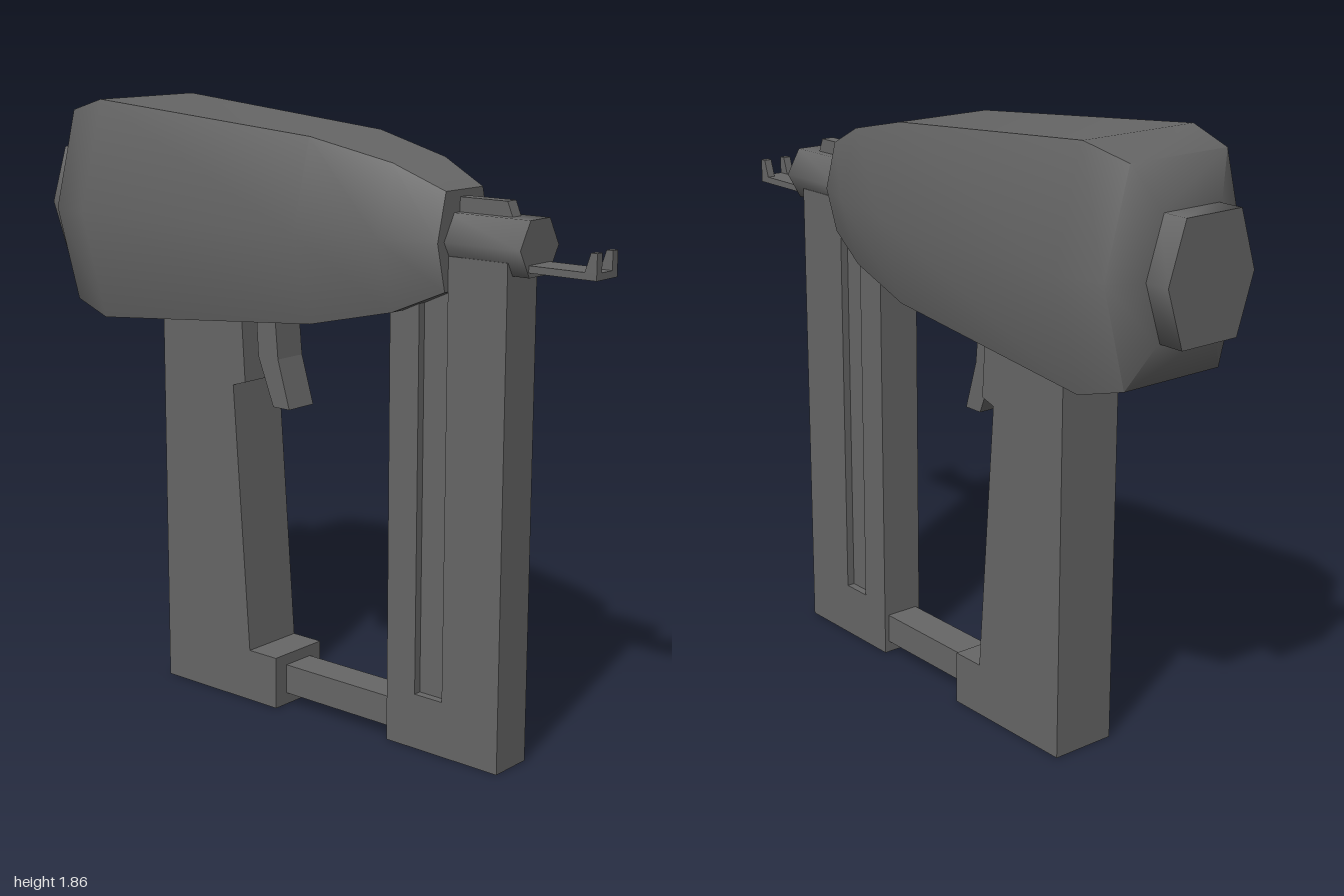
import * as THREE from 'three';
import { toCreasedNormals } from 'three/addons/utils/BufferGeometryUtils.js';

const AXIS_Y = 1.52;
const material = new THREE.MeshStandardMaterial({ color: 0x666666 });

function addPart(group, name, geometry) {
  const mesh = new THREE.Mesh(geometry, material);
  mesh.name = name;
  group.add(mesh);
}

// Box given by its minimum and maximum corners
function box([x0, y0, z0], [x1, y1, z1]) {
  return new THREE.BoxGeometry(x1 - x0, y1 - y0, z1 - z0)
    .translate((x0 + x1) / 2, (y0 + y1) / 2, (z0 + z1) / 2);
}

// Side profile of [z, y] points, extruded across x from x0 to x1
function profile(points, x0, x1, hole) {
  const toVectors = (list) => list.map(([z, y]) => new THREE.Vector2(z, y));
  const shape = new THREE.Shape(toVectors(points));
  if (hole) shape.holes.push(new THREE.Path(toVectors(hole)));
  return new THREE.ExtrudeGeometry(shape, { depth: x1 - x0, bevelEnabled: false })
    .rotateY(-Math.PI / 2).translate(x1, 0, 0);
}

// Hexagonal loft; stations [z, half width, half width of flat top, half height], front to back.
// Edges sharper than the crease angle stay hard.
function hexLoft(crease, stations) {
  const positions = [];
  const index = [];
  for (const [z, w, t, h] of stations) {
    for (const [x, y] of [[w, 0], [t, h], [-t, h], [-w, 0], [-t, -h], [t, -h]]) {
      positions.push(x, AXIS_Y + y, z);
    }
  }
  const last = (stations.length - 1) * 6;
  for (let i = 0; i < last; i += 6) {
    for (let j = 0; j < 6; j++) {
      const a = i + j, b = i + (j + 1) % 6;
      index.push(a, a + 6, b, b, a + 6, b + 6);
    }
  }
  for (let j = 1; j < 5; j++) {
    index.push(0, j, j + 1, last, last + j + 1, last + j);
  }
  const geometry = new THREE.BufferGeometry();
  geometry.setAttribute('position', new THREE.Float32BufferAttribute(positions, 3));
  geometry.setIndex(index);
  return toCreasedNormals(geometry, crease);
}

export function createModel() {
  const model = new THREE.Group();
  model.name = 'nailGun';

  // Main housing, rear cap and nose
  addPart(model, 'body', hexLoft(1.15, [
    [0.53, 0.12, 0.085, 0.14],
    [0.37, 0.18, 0.12, 0.21],
    [0.10, 0.235, 0.16, 0.27],
    [-0.72, 0.288, 0.20, 0.34],
    [-0.87, 0.255, 0.175, 0.30],
    [-0.92, 0.16, 0.11, 0.175],
  ]));
  addPart(model, 'rearCap', hexLoft(1.4, [[-0.9, 0.157, 0.1, 0.173], [-1, 0.157, 0.1, 0.173]]));
  addPart(model, 'nose', hexLoft(1.4, [[0.785, 0.091, 0.046, 0.078], [0.5, 0.091, 0.046, 0.078]]));
  addPart(model, 'noseRib', profile(
    [[0.5, 1.58], [0.715, 1.58], [0.69, 1.64], [0.5, 1.64]], -0.02, 0.02));

  // Contact tip: a tongue with two upright prongs
  addPart(model, 'tipTongue', box([-0.05, 1.457, 0.76], [0.05, 1.477, 1]));
  for (const [name, x] of [['leftProng', 0.025], ['rightProng', -0.05]]) {
    addPart(model, name, profile(
      [[0.96, 1.47], [1, 1.47], [1, 1.53], [0.98, 1.53]], x, x + 0.025));
  }

  // Magazine: core plus slotted side plates
  addPart(model, 'magazineCore', box([-0.045, 0, 0.325], [0.045, 1.48, 0.73]));
  const outline = [[0.325, 0], [0.73, 0], [0.73, 1.48], [0.325, 1.48]];
  const slot = [[0.43, 0.17], [0.43, 1.44], [0.53, 1.44], [0.53, 0.17]];
  addPart(model, 'leftMagazinePlate', profile(outline, 0.045, 0.07, slot));
  addPart(model, 'rightMagazinePlate', profile(outline, -0.07, -0.045, slot));

  // Grip, trigger and the bar joining the grip to the magazine
  addPart(model, 'handle', profile([
    [-0.557, 0], [-0.09, 0], [-0.09, 0.165], [-0.2, 0.165],
    [-0.26, 1.01], [-0.21, 1.025], [-0.225, 1.27], [-0.557, 1.27],
  ], -0.105, 0.105));
  addPart(model, 'trigger', profile([
    [-0.075, 0.95], [-0.12, 1.1], [-0.135, 1.27],
    [-0.21, 1.27], [-0.2, 1.1], [-0.14, 0.95],
  ], -0.055, 0.055));
  addPart(model, 'lowerBar', box([-0.055, 0.037, -0.12], [0.055, 0.13, 0.35]));

  return model;
}
